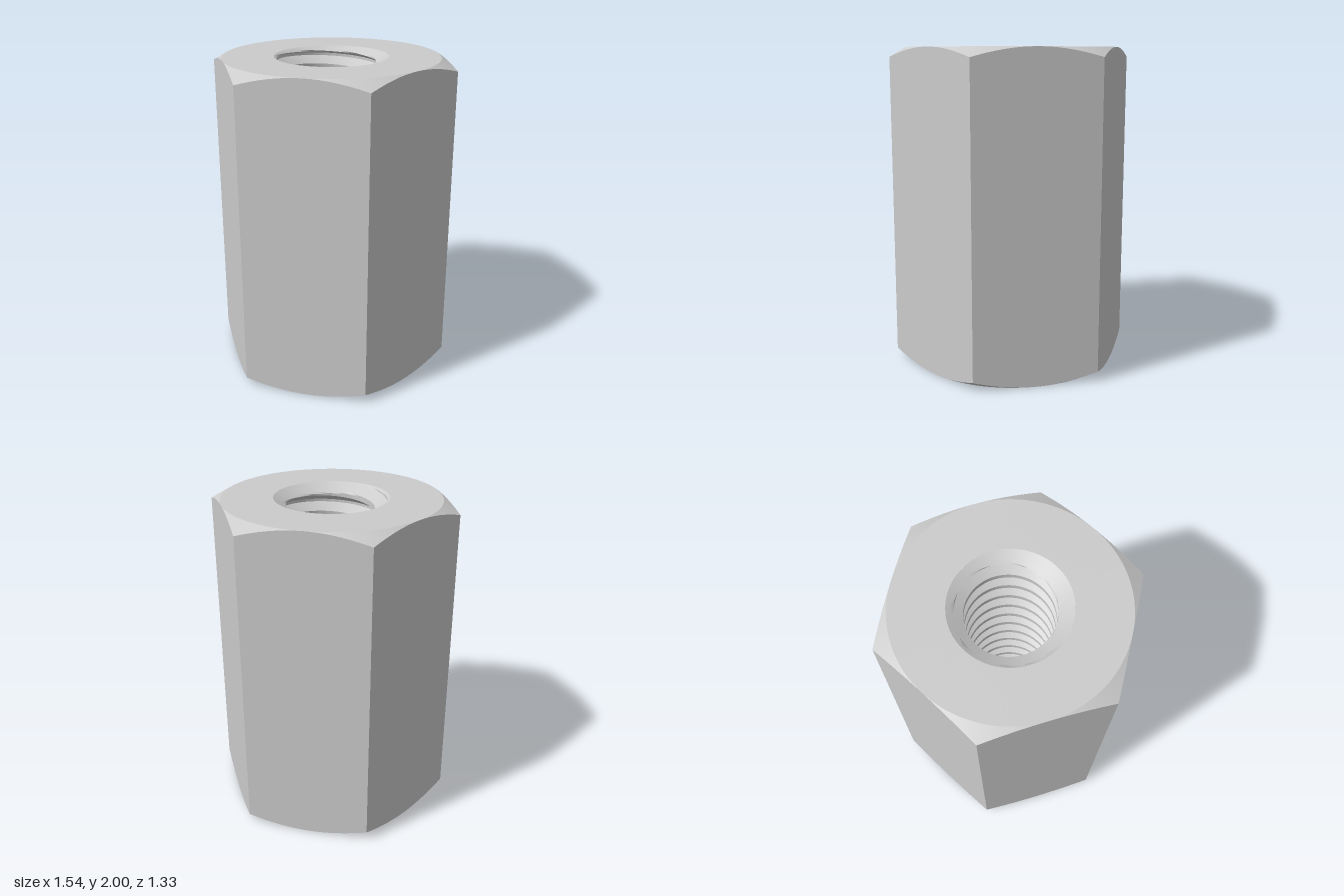
import * as THREE from 'three';
import { toCreasedNormals } from 'three/addons/utils/BufferGeometryUtils.js';

const HEIGHT = 2, APOTHEM = 0.667, SLOPE = Math.tan(Math.PI / 6);
const MINOR = 0.261, MAJOR = 0.333, SINK = 0.35;   // bore, thread root and countersink radii
const PITCH = 2 / 15, START = 1.93;                // thread pitch and groove height at angle 0

// Surface swept round the y axis: at(angle, row) gives [radius, height]
function sweep(cols, rows, at) {
  const pos = [], index = [];
  for (let j = 0; j <= rows; j++) {
    for (let i = 0; i <= cols; i++) {
      const a = ((i % cols) / cols) * Math.PI * 2;
      const [r, y] = at((i / cols) * Math.PI * 2, j);
      pos.push(r * Math.cos(a), y, r * Math.sin(a));
    }
  }
  const corner = (k) => new THREE.Vector3().fromArray(pos, k * 3);
  const tri = new THREE.Triangle();
  const add = (a, b, c) => {
    tri.set(corner(a), corner(b), corner(c));
    if (tri.getArea() > 1e-9) index.push(a, b, c);   // skip collapsed faces
  };
  for (let j = 0; j < rows; j++) {
    for (let i = 0; i < cols; i++) {
      const a = j * (cols + 1) + i, b = a + 1, c = a + cols + 1, d = c + 1;
      add(a, b, c);
      add(b, d, c);
    }
  }
  const g = new THREE.BufferGeometry();
  g.setAttribute('position', new THREE.Float32BufferAttribute(pos, 3));
  g.setIndex(index);
  return toCreasedNormals(g, 0.4);
}

// Hexagonal outside with conical corner chamfers and flat annular ends
function hexBody() {
  const sector = Math.PI / 3;
  return sweep(144, 5, (a, j) => {
    const r = APOTHEM / Math.cos((a % sector) - sector / 2);
    const drop = Math.max(0, r - APOTHEM) * SLOPE;
    return [
      [SINK, HEIGHT], [APOTHEM, HEIGHT], [r, HEIGHT - drop],
      [r, drop], [APOTHEM, 0], [SINK, 0],
    ][j];
  });
}

// Right-handed 60 degree thread, opened by a countersink at both ends
function threadedBore() {
  const perTurn = 16, turns = Math.ceil(HEIGHT / PITCH) + 3;
  return sweep(96, perTurn * turns, (a, j) => {
    const offset = j / perTurn - turns + 2;          // in pitches from the top groove
    const helixY = START + (offset - a / (Math.PI * 2)) * PITCH;
    const y = THREE.MathUtils.clamp(helixY, 0, HEIGHT);
    const fromRoot = Math.abs(offset - Math.round(offset));
    const depth = THREE.MathUtils.clamp((6 / 16 - fromRoot) / (5 / 16), 0, 1);
    const thread = MINOR + (MAJOR - MINOR) * depth;
    const cone = SINK - Math.min(y, HEIGHT - y) / SLOPE;
    return [Math.max(thread, cone), y];
  });
}

export function createModel() {
  const material = new THREE.MeshStandardMaterial({ color: 0xcccccc });
  const group = new THREE.Group();
  group.name = 'hexCouplingNut';
  const parts = { hexBody: hexBody(), threadedBore: threadedBore() };
  for (const [name, geometry] of Object.entries(parts)) {
    const mesh = new THREE.Mesh(geometry, material);
    mesh.name = name;
    group.add(mesh);
  }
  return group;
}
